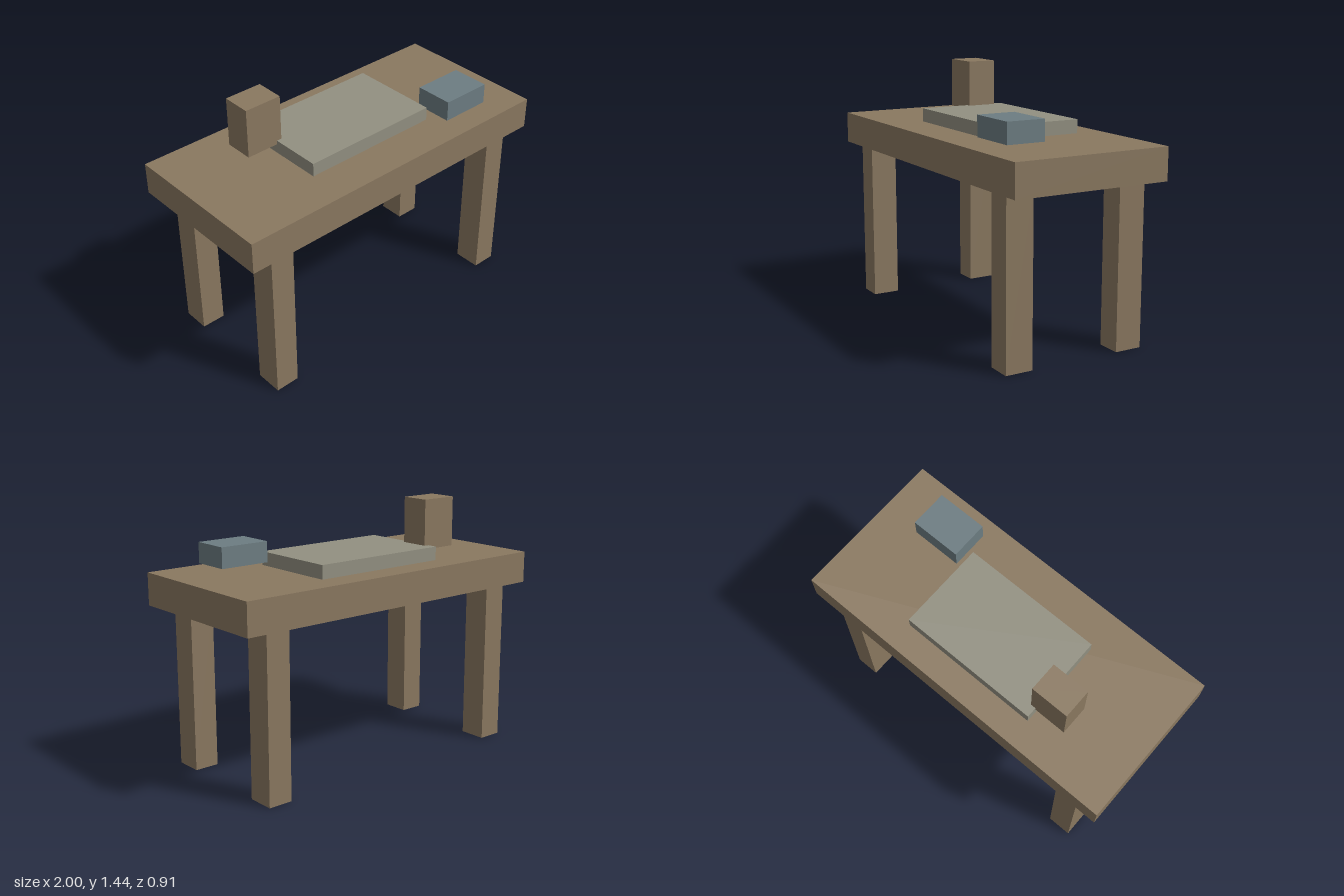
import * as THREE from 'three';

const material = (name, color) => {
  const m = new THREE.MeshStandardMaterial({ color });
  m.name = name;
  return m;
};

export function createModel() {
  const model = new THREE.Group();
  model.name = 'table';
  const wood = material('brown wood', 0x8a7860);
  const grey = material('warm grey', 0x929081);
  const blue = material('slate blue', 0x6d7d82);

  // Box from its extents along x, y and z
  const addBox = (name, mat, [x0, x1], [y0, y1], [z0, z1]) => {
    const mesh = new THREE.Mesh(new THREE.BoxGeometry(x1 - x0, y1 - y0, z1 - z0), mat);
    mesh.position.set((x0 + x1) / 2, (y0 + y1) / 2, (z0 + z1) / 2);
    mesh.name = name;
    model.add(mesh);
  };

  addBox('tabletop', wood, [-1, 1], [0.925, 1.106], [-0.454, 0.454]);

  // Four legs, mirrored left to right and front to back
  for (const [sx, side] of [[1, 'Left'], [-1, 'Right']]) {
    for (const [sz, end] of [[1, 'front'], [-1, 'back']]) {
      const x = 0.791 * sx, z = 0.339 * sz;
      addBox(`${end}${side}Leg`, wood, [x - 0.07, x + 0.07], [0, 0.925], [z - 0.078, z + 0.078]);
    }
  }

  // Objects on the table; the two blocks hover slightly above the top
  addBox('slab', grey, [-0.415, 0.412], [1.106, 1.183], [-0.3, 0.221]);
  addBox('uprightBlock', wood, [-0.605, -0.385], [1.161, 1.444], [-0.24, -0.073]);
  addBox('smallBox', blue, [0.449, 0.744], [1.14, 1.256], [0.124, 0.344]);

  return model;
}
